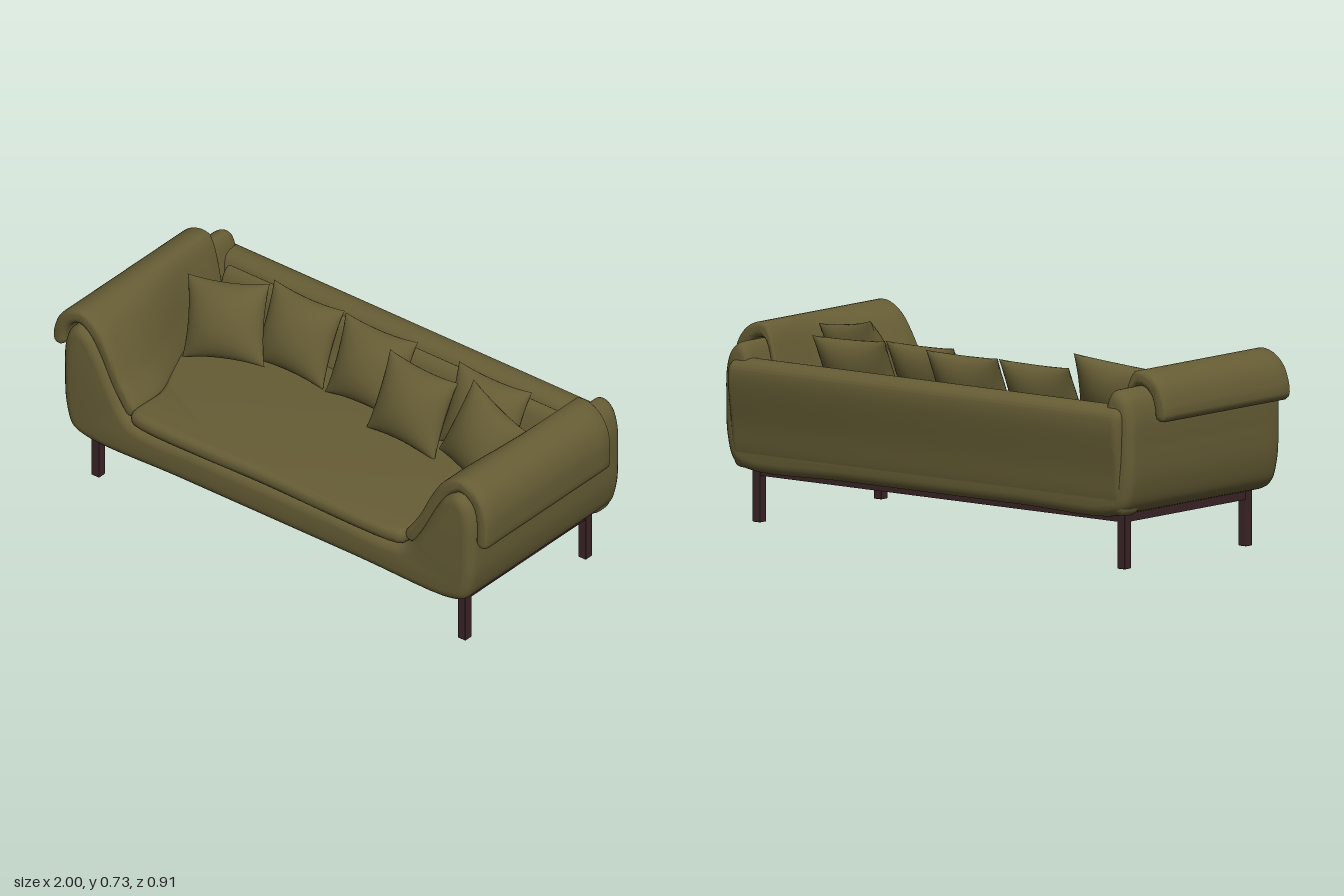
import * as THREE from 'three';
import { mergeGeometries, toCreasedNormals } from 'three/addons/utils/BufferGeometryUtils.js';
import { RoundedBoxGeometry } from 'three/addons/geometries/RoundedBoxGeometry.js';

const fabric = new THREE.MeshStandardMaterial({ color: 0x665d35 });
fabric.name = 'olive fabric';
const wood = new THREE.MeshStandardMaterial({ color: 0x3a2426 });
wood.name = 'dark wood';

// Smooth curve through [x, y] points, as Vector2 samples
function smooth(points, closed, count) {
  const curve = new THREE.CatmullRomCurve3(points.map(([x, y]) => new THREE.Vector3(x, y, 0)), closed, 'centripetal');
  const out = curve.getPoints(count).map((p) => new THREE.Vector2(p.x, p.y));
  if (closed) out.pop();
  return out;
}

// Outline extruded from z0 to z1 with soft rounded ends that stay inside the outline
function softExtrude(outline, z0, z1, bevel, steps = 1) {
  const g = new THREE.ExtrudeGeometry(new THREE.Shape(outline), {
    depth: z1 - z0 - 2 * bevel, steps, bevelEnabled: true, bevelSize: bevel,
    bevelThickness: bevel, bevelOffset: -bevel, bevelSegments: 5,
  });
  return g.translate(0, 0, z0 + bevel);
}

// The inner flank of each arm is steep at the back and sweeps inward at the front
function sweepArms(g) {
  const p = g.attributes.position;
  for (let i = 0; i < p.count; i++) {
    const x = p.getX(i), a = Math.abs(x);
    if (a > 0.45 && a < 0.85 && p.getY(i) > 0.28) {
      const k = 0.4 + 0.6 * THREE.MathUtils.smoothstep(p.getZ(i), -0.15, 0.33);
      p.setX(i, Math.sign(x) * (0.85 - (0.85 - a) * k));
    }
  }
  return g;
}

// Closed outline of an even-width band that follows a curve, with round ends
function band(points, width) {
  const c = smooth(points, false, 36), left = [], right = [];
  c.forEach((p, i) => {
    const t = c[Math.min(i + 1, c.length - 1)].clone().sub(c[Math.max(i - 1, 0)]).normalize();
    const n = new THREE.Vector2(-t.y, t.x).multiplyScalar(width / 2);
    left.push(p.clone().add(n));
    right.unshift(p.clone().sub(n));
  });
  const cap = (p, from) => [1, 2, 3, 4].map((j) =>
    from.clone().rotateAround(p, -j * Math.PI / 5));
  return [...left, ...cap(c[c.length - 1], left[left.length - 1]), ...right, ...cap(c[0], right[right.length - 1])];
}

// Stuffed square cushion with pointed corners and pinched edges
function pillowGeometry(w, h, t) {
  const front = new THREE.PlaneGeometry(2, 2, 20, 20);
  const p = front.attributes.position;
  for (let i = 0; i < p.count; i++) {
    const u = Math.sin(p.getX(i) * Math.PI / 2), v = Math.sin(p.getY(i) * Math.PI / 2);
    const fu = Math.max(0, 1 - u * u), fv = Math.max(0, 1 - v * v);
    p.setXYZ(i, u * w * (1 - 0.1 * fv), v * h * (1 - 0.09 * fu), t * Math.pow(fu * fv, 0.55));
  }
  front.computeVertexNormals();
  return mergeGeometries([front, front.clone().rotateY(Math.PI)]);
}

export function createModel() {
  const sofa = new THREE.Group();
  sofa.name = 'sofa';
  const add = (name, geometry, material, x = 0, y = 0, z = 0) => {
    const m = new THREE.Mesh(geometry, material);
    m.name = name;
    m.position.set(x, y, z);
    sofa.add(m);
    return m;
  };
  const soft = (g) => toCreasedNormals(g, 0.7);

  // Base and both arms share one U-shaped section
  const half = [[0.4, 0.195], [0.84, 0.195], [0.905, 0.225], [0.935, 0.31], [0.942, 0.45], [0.938, 0.56],
    [0.915, 0.625], [0.87, 0.655], [0.815, 0.63], [0.765, 0.56], [0.7, 0.44], [0.65, 0.365], [0.6, 0.335], [0.3, 0.335]];
  const section = [...half, ...half.map(([x, y]) => [-x, y]).reverse()];
  add('baseAndArms', soft(sweepArms(softExtrude(smooth(section, true, 160), -0.42, 0.44, 0.04, 16))), fabric);

  // Padded covers draped over the arms; the left one hangs lower
  for (const [name, side, low] of [['leftArmPad', 1, 0.485], ['rightArmPad', -1, 0.56]]) {
    const path = [[0.972, low], [0.97, 0.585], [0.95, 0.64], [0.912, 0.675], [0.868, 0.684], [0.815, 0.655],
      [0.765, 0.585], [0.705, 0.47], [0.645, 0.385]];
    const outline = band(path, 0.054).map((p) => new THREE.Vector2(p.x * side, p.y));
    add(name, soft(sweepArms(softExtrude(outline, -0.29, 0.42, 0.018, 16))), fabric);
  }

  // Backrest shell and its inner cushion, extruded across the width (outline x is -z)
  const shell = [[0.31, 0.21], [0.4, 0.205], [0.418, 0.25], [0.43, 0.36], [0.45, 0.53], [0.44, 0.575],
    [0.4, 0.598], [0.35, 0.588], [0.325, 0.54], [0.31, 0.4]];
  add('backrest', soft(softExtrude(smooth(shell, true, 70), -0.905, 0.905, 0.03).rotateY(Math.PI / 2)), fabric);
  const inner = [[0.23, 0.37], [0.33, 0.37], [0.338, 0.46], [0.335, 0.555], [0.31, 0.582], [0.283, 0.56], [0.255, 0.47]];
  add('backCushion', soft(softExtrude(smooth(inner, true, 50), -0.79, 0.79, 0.02).rotateY(Math.PI / 2)), fabric);

  // Seat cushion, wider towards the back (outline y is -z)
  const plan = [[0, -0.45], [0.58, -0.45], [0.625, -0.43], [0.635, -0.25], [0.7, -0.12], [0.765, 0.05], [0.78, 0.28], [0.4, 0.3]];
  const seatOutline = [...plan, [0, 0.3], ...plan.slice(1).map(([x, y]) => [-x, y]).reverse()];
  add('seatCushion', soft(softExtrude(smooth(seatOutline, true, 100), 0.34, 0.403, 0.027).rotateX(-Math.PI / 2)), fabric);

  // Loose pillows leaning back: x, y, z, yaw, roll
  const pillow = pillowGeometry(0.162, 0.15, 0.078);
  [[-0.58, 0.56, -0.05, 0.2, 0.14], [-0.34, 0.54, -0.165, 0, 0], [-0.005, 0.54, -0.165, 0.03, 0],
    [0.26, 0.535, -0.07, -0.03, -0.02], [0.515, 0.545, -0.165, 0.06, -0.03], [0.63, 0.57, -0.01, -0.2, -0.17],
  ].forEach(([x, y, z, yaw, roll], i) => {
    add('pillow' + (i + 1), pillow, fabric, x, y, z).rotation.set(-0.42, yaw, roll, 'YXZ');
  });

  // Wooden frame: four square legs joined by rails
  for (const x of [-0.842, 0.842]) {
    for (const z of [0.35, -0.33]) add('leg', new RoundedBoxGeometry(0.036, 0.2, 0.036, 2, 0.003), wood, x, 0.1, z);
    add('sideRail', new THREE.BoxGeometry(0.03, 0.03, 0.66), wood, x, 0.184, 0.01);
  }
  for (const z of [0.35, -0.33]) add('longRail', new THREE.BoxGeometry(1.66, 0.03, 0.03), wood, 0, 0.184, z);

  return sofa;
}
